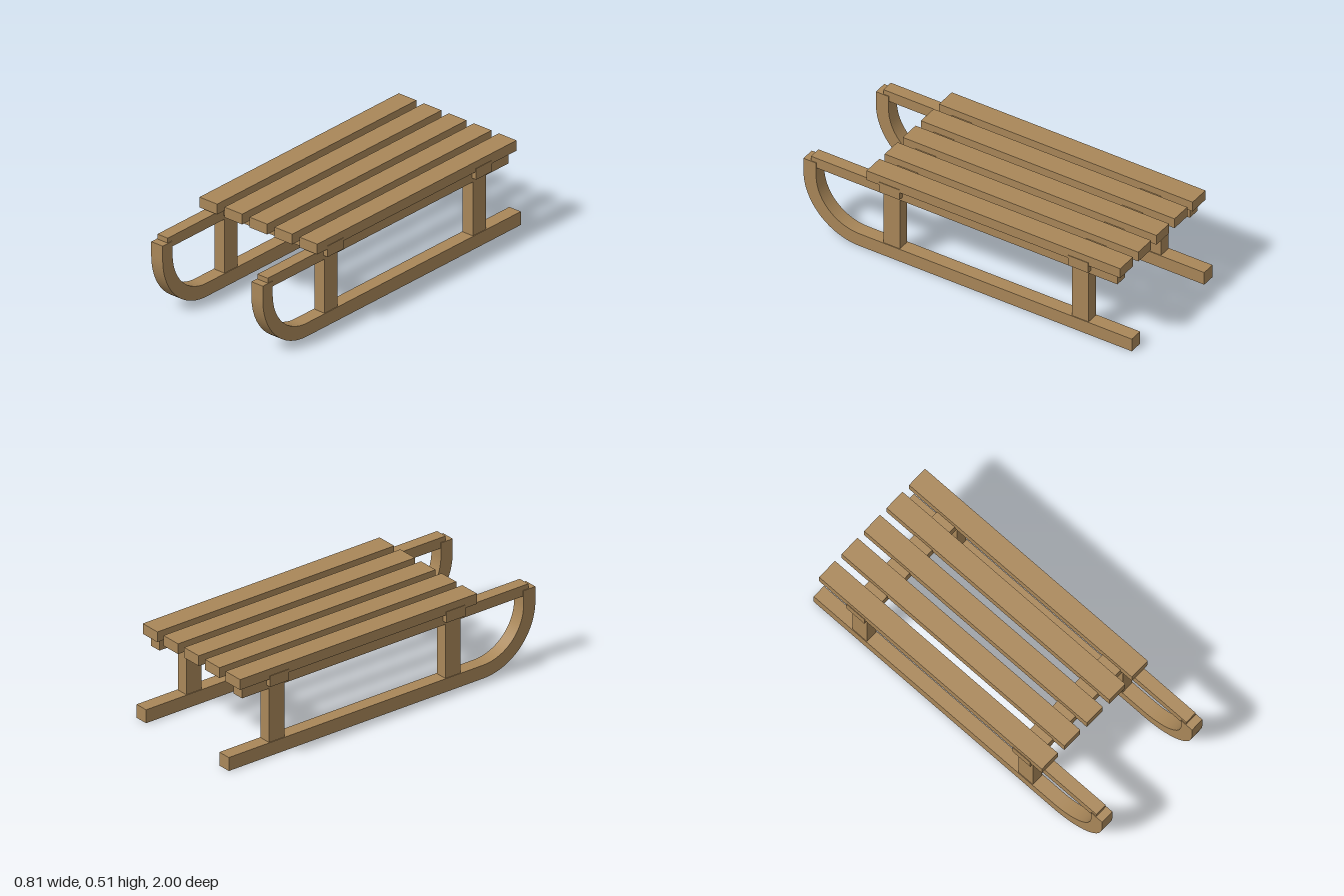
import * as THREE from 'three';

export function createModel() {
  const sled = new THREE.Group();
  sled.name = 'sled';
  const wood = new THREE.MeshStandardMaterial({ color: 0xa98759, flatShading: true });

  // Box given by its extents on each axis
  function beam(name, [x0, x1], [y0, y1], [z0, z1]) {
    const mesh = new THREE.Mesh(new THREE.BoxGeometry(x1 - x0, y1 - y0, z1 - z0), wood);
    mesh.position.set((x0 + x1) / 2, (y0 + y1) / 2, (z0 + z1) / 2);
    mesh.name = name;
    sled.add(mesh);
  }

  // Seat slats
  for (let i = -2; i <= 2; i++) {
    beam('seatSlat', [i * 0.17 - 0.06, i * 0.17 + 0.06], [0.456, 0.515], [-0.943, 0.602]);
  }

  // Cross bars under the slats
  for (const z of [0.462, -0.688]) {
    beam('crossBar', [-0.403, 0.403], [0.412, 0.475], [z - 0.062, z + 0.062]);
  }

  // Runner side profile (shape x = model z): flat base, quarter bend, upright tip
  const outer = 0.34, thick = 0.077, cz = 1 - outer;
  const profile = new THREE.Shape();
  profile.moveTo(-1, 0);
  profile.lineTo(cz, 0);
  profile.absarc(cz, outer, outer, -Math.PI / 2, 0, false);
  profile.lineTo(1, 0.42);
  profile.lineTo(1 - thick, 0.42);
  profile.lineTo(1 - thick, outer);
  profile.absarc(cz, outer, outer - thick, 0, -Math.PI / 2, true);
  profile.lineTo(-1, thick);
  profile.closePath();
  const width = 0.078;
  const runnerGeo = new THREE.ExtrudeGeometry(profile, { depth: width, bevelEnabled: false, curveSegments: 20 });
  runnerGeo.translate(0, 0, -width / 2);
  runnerGeo.rotateY(-Math.PI / 2);

  for (const side of [1, -1]) {
    const x = side * 0.34;
    const runner = new THREE.Mesh(runnerGeo, wood);
    runner.name = side > 0 ? 'leftRunner' : 'rightRunner';
    runner.position.x = x;
    sled.add(runner);

    // Upper rail and the posts that carry it
    const across = [x - 0.035, x + 0.035];
    beam('sideRail', across, [0.387, 0.448], [-0.91, 0.957]);
    for (const z of [0.466, -0.684]) {
      beam('post', across, [0.07, 0.4], [z - 0.05, z + 0.05]);
    }
  }
  return sled;
}
